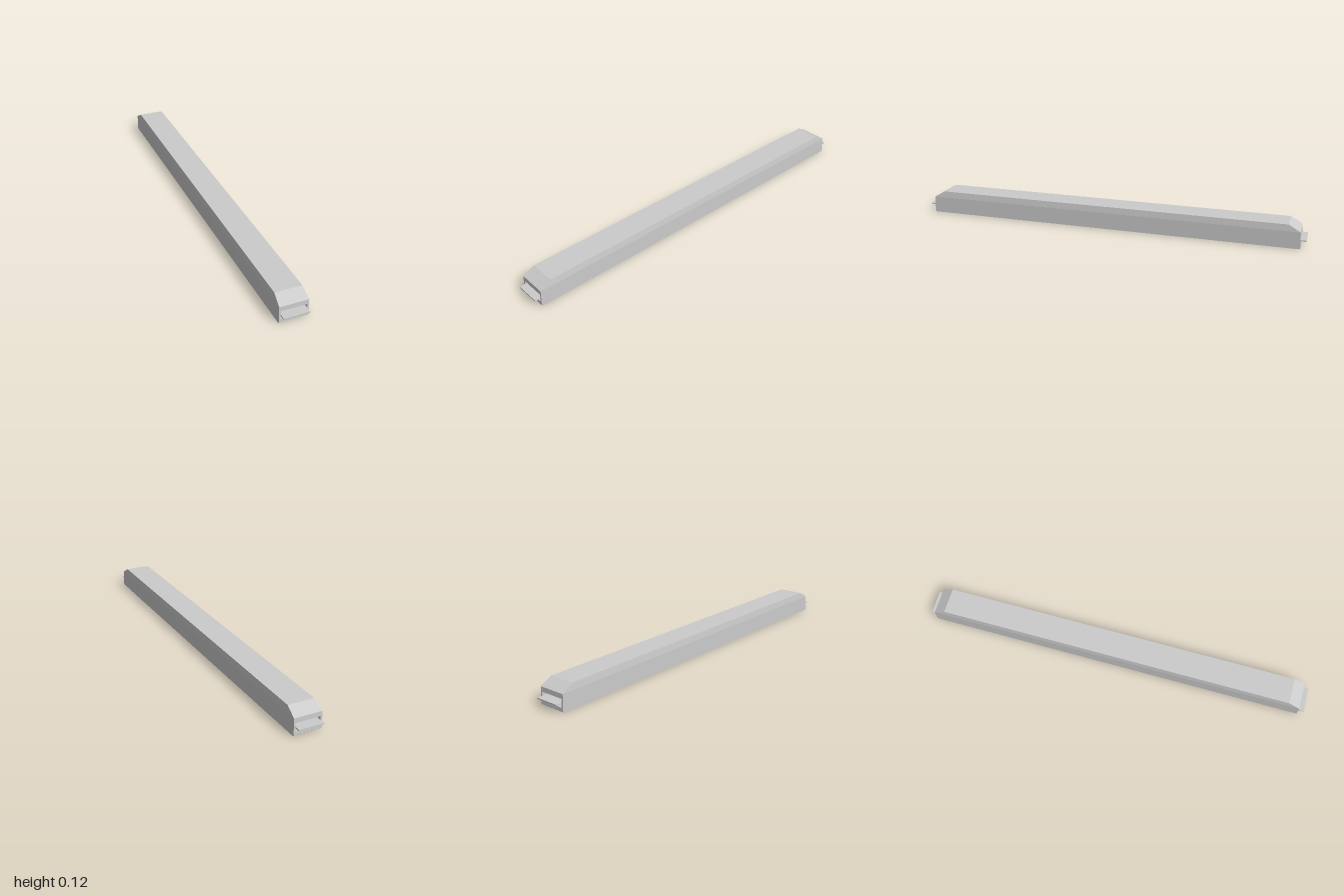
import * as THREE from 'three';

const W = 0.07, W_TOP = 0.066;            // half widths at the base and roof
const SHOULDER = 0.085, H = 0.118;        // height of the kink and of the roof
const CAP_IN = 0.885, CAP_OUT = 0.974;    // z range of an end cap
const material = new THREE.MeshStandardMaterial({ color: 0xcccccc, flatShading: true });

function poly(points) {
  return new THREE.Shape(points.map(([x, y]) => new THREE.Vector2(x, y)));
}

function part(name, geometry) {
  const mesh = new THREE.Mesh(geometry, material);
  mesh.name = name;
  return mesh;
}

function box(name, w, h, d, y, z) {
  const geometry = new THREE.BoxGeometry(w, h, d);
  geometry.translate(0, y, z);
  return part(name, geometry);
}

// Extrudes a section from z0; the outer end follows outerZ(y)
function slice(shape, z0, outerZ) {
  const geometry = new THREE.ExtrudeGeometry(shape, { depth: 1, bevelEnabled: false });
  const p = geometry.attributes.position;
  for (let i = 0; i < p.count; i++) {
    p.setZ(i, p.getZ(i) > 0.5 ? outerZ(p.getY(i)) : z0);
  }
  geometry.computeVertexNormals();
  return geometry;
}

function createEndCap() {
  const cap = new THREE.Group();
  const lip = 0.005;

  // Narrow chamfer along the bottom edge
  const base = poly([[-W, 0], [W, 0], [W, lip], [-W, lip]]);
  cap.add(part('capBase', slice(base, CAP_IN, y => (y < lip / 2 ? 0.968 : CAP_OUT))));

  // End face with the rectangular socket
  const face = poly([[-W, lip], [W, lip], [W, SHOULDER], [-W, SHOULDER]]);
  face.holes.push(poly([[-0.062, 0.022], [-0.062, 0.062], [0.062, 0.062], [0.062, 0.022]]));
  const lean = y => CAP_OUT - 0.004 * (y - lip) / (SHOULDER - lip);
  cap.add(part('capFace', slice(face, CAP_IN, lean)));
  cap.add(box('socketBack', 0.124, 0.04, 0.055, 0.042, CAP_IN + 0.0275));

  // Sloped nose above the end face
  const nose = poly([[-W, SHOULDER], [W, SHOULDER], [W_TOP, H], [-W_TOP, H]]);
  cap.add(part('capNose', slice(nose, CAP_IN, y => (y > 0.1 ? 0.912 : 0.97))));

  // Flat connector tongue
  cap.add(box('connectorTongue', 0.124, 0.006, 0.065, 0.041, 0.9675));
  return cap;
}

export function createModel() {
  const model = new THREE.Group();
  model.name = 'lightBar';

  // Long housing, open underneath
  const inner = W - 0.003, ceiling = 0.073;
  const section = poly([
    [-W, 0], [-inner, 0], [-inner, ceiling], [inner, ceiling], [inner, 0], [W, 0],
    [W, SHOULDER], [W_TOP, H], [-W_TOP, H], [-W, SHOULDER],
  ]);
  model.add(part('housing', slice(section, -CAP_IN, () => CAP_IN)));

  // Matching caps at both ends
  ['frontCap', 'backCap'].forEach((name, i) => {
    const cap = createEndCap();
    cap.name = name;
    cap.rotation.y = i * Math.PI;
    model.add(cap);
  });
  return model;
}
